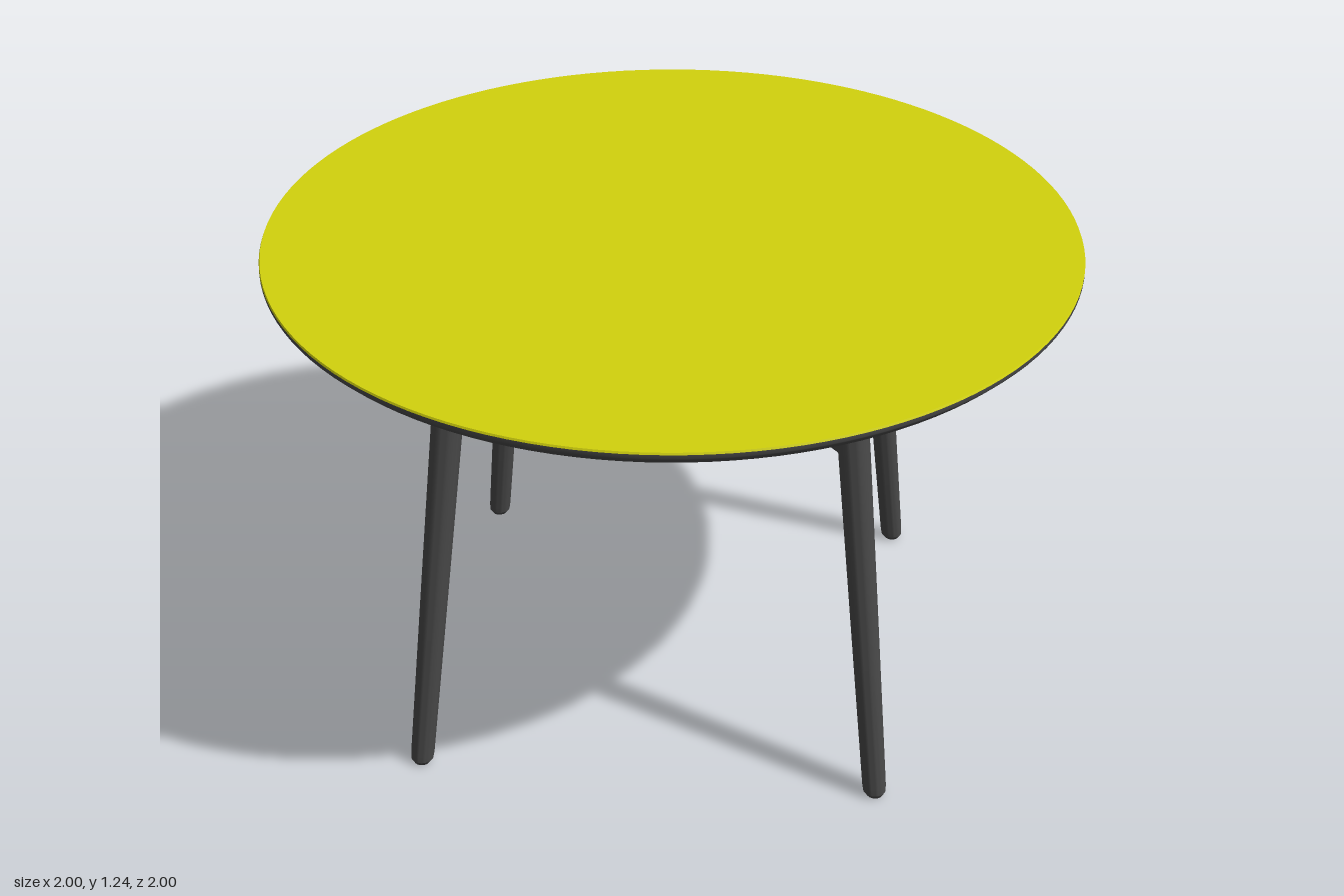
import * as THREE from 'three';
import { toCreasedNormals } from 'three/addons/utils/BufferGeometryUtils.js';

const black = new THREE.MeshStandardMaterial({ color: 0x484848 });
black.name = 'charcoal';
const yellow = new THREE.MeshStandardMaterial({ color: 0xd2d20d });
yellow.name = 'yellow';

function mesh(name, geometry, material) {
  const m = new THREE.Mesh(geometry, material);
  m.name = name;
  return m;
}

function lathe(points, segments) {
  const g = new THREE.LatheGeometry(points.map(([r, y]) => new THREE.Vector2(r, y)), segments);
  return toCreasedNormals(g, 0.5);
}

// Leg centre line: distance from the middle in x and z at a given height
const FOOT = 0.573;
const SLOPE = -0.098;

// Upright profile sheared so that it splays outward in x and z
function splay(geometry) {
  const shear = new THREE.Matrix4().set(
    1, SLOPE, 0, FOOT,
    0, 1, 0, 0,
    0, SLOPE, 1, FOOT,
    0, 0, 0, 1);
  return geometry.applyMatrix4(shear);
}

function makeLeg() {
  const leg = new THREE.Group();
  leg.name = 'leg';
  // Tapered shaft with a chamfered foot and a fine groove below the collar
  leg.add(mesh('legShaft', splay(lathe([
    [0, 0], [0.02, 0], [0.028, 0.012], [0.0295, 0.03], [0.034, 0.5],
    [0.038, 0.95], [0.038, 1.082], [0.034, 1.086], [0, 1.086],
  ], 32)), black));
  // Collar flaring into the underside of the top
  leg.add(mesh('legCollar', splay(lathe([
    [0, 1.084], [0.034, 1.084], [0.038, 1.088], [0.04, 1.13], [0.044, 1.16],
    [0.05, 1.178], [0.06, 1.191], [0.074, 1.198], [0.085, 1.2],
  ], 32)), black));
  return leg;
}

// Diagonal rail with an arched lower edge and softened corners
function makeStretcher() {
  const end = 0.66, bevel = 0.014, thickness = 0.05;
  const s = new THREE.Shape();
  s.moveTo(-end, 1.06);
  s.lineTo(-end, 0.928);
  s.quadraticCurveTo(0, 0.98, end, 0.928);
  s.lineTo(end, 1.06);
  s.closePath();
  const g = new THREE.ExtrudeGeometry(s, {
    depth: thickness - 2 * bevel, curveSegments: 24,
    bevelSize: bevel, bevelThickness: bevel, bevelOffset: -bevel, bevelSegments: 4,
  });
  g.translate(0, 0, bevel - thickness / 2);
  return toCreasedNormals(g, 0.6);
}

export function createModel() {
  const table = new THREE.Group();
  table.name = 'roundTable';

  // Table top with an undercut edge, and its coloured surface
  table.add(mesh('tableTop', lathe([
    [0, 1.198], [0.972, 1.198], [0.98, 1.2], [0.998, 1.218], [1, 1.222], [1, 1.231], [0, 1.231],
  ], 128), black));
  const surface = mesh('topSurface', new THREE.CylinderGeometry(0.998, 1, 0.005, 128), yellow);
  surface.position.y = 1.2335;
  table.add(surface);

  // Four legs on the diagonals
  for (let i = 0; i < 4; i++) {
    const leg = makeLeg();
    leg.rotation.y = i * Math.PI / 2;
    table.add(leg);
  }

  // Crossed rails joining opposite legs
  for (const side of [-1, 1]) {
    const rail = mesh('stretcher', makeStretcher(), black);
    rail.rotation.y = side * Math.PI / 4;
    table.add(rail);
  }
  return table;
}
